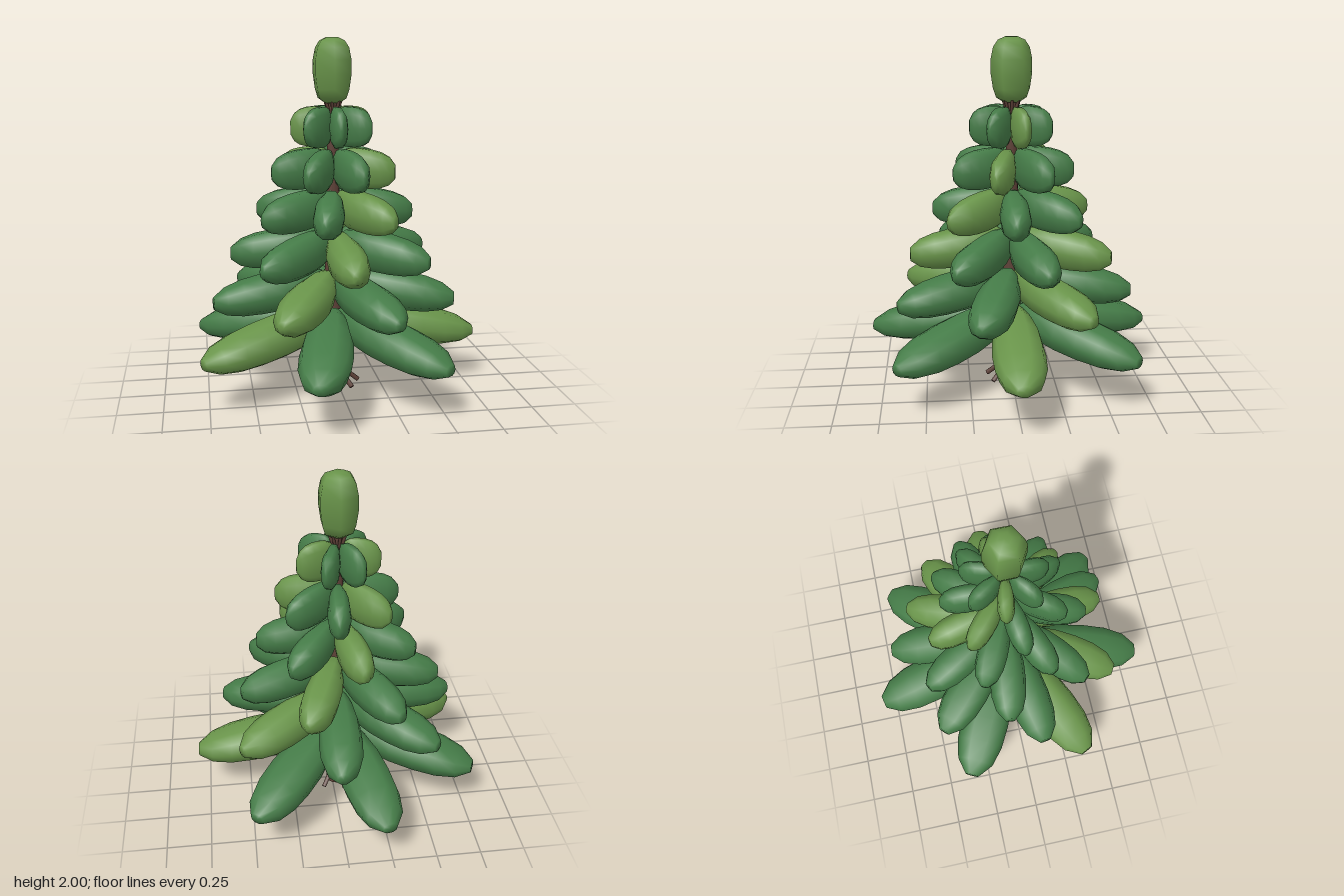
import * as THREE from 'three';
import { mergeVertices } from 'three/addons/utils/BufferGeometryUtils.js';

const mat = (name, color) => Object.assign(new THREE.MeshStandardMaterial({ color }), { name });
const SIDES = 7, STEP = (Math.PI * 2) / SIDES, CENTRE_X = -0.03;

// Half-width and half-height along a bough, from the trunk (0) to the tip (1)
const WIDTH = [0.22, 0.52, 0.76, 0.95, 1, 0.95, 0.74, 0.28];
const HEIGHT = [0.35, 0.8, 0.97, 1, 0.97, 0.86, 0.64, 0.27];

// Plump petal-shaped bough lying along +x
function boughGeometry({ length, width, height, y, drop, inner, blunt }) {
  const g = new THREE.CylinderGeometry(1, 1, 1, 10, 7);
  const p = g.attributes.position;
  const soften = (c) => Math.sign(c) * Math.abs(c) ** 0.85;
  for (let i = 0; i < p.count; i++) {
    const t = p.getY(i) + 0.5, ring = Math.round(t * 7);
    // Rings crowd towards both ends so the ends are round
    const s = THREE.MathUtils.lerp(t, (1 - Math.cos(Math.PI * t)) / 2, 0.45);
    p.setXYZ(i,
      inner + s * (length - inner),
      y + drop * (0.5 - s) + soften(p.getX(i)) * height * HEIGHT[ring] ** blunt,
      -soften(p.getZ(i)) * width * WIDTH[ring]);
  }
  g.deleteAttribute('normal');
  g.deleteAttribute('uv');
  const merged = mergeVertices(g, 1e-4);
  merged.computeVertexNormals();
  return merged;
}

// Thin stick between two points
function stick(name, a, b, radius, material) {
  const dir = b.clone().sub(a);
  const mesh = new THREE.Mesh(new THREE.CylinderGeometry(radius, radius, dir.length(), 6), material);
  mesh.position.copy(a).addScaledVector(dir, 0.5);
  mesh.quaternion.setFromUnitVectors(new THREE.Vector3(0, 1, 0), dir.normalize());
  mesh.name = name;
  return mesh;
}

export function createModel() {
  const bark = mat('bark brown', 0x5d4037);
  const green = mat('needle green', 0x457c48);
  const light = mat('light needle green', 0x69944a);
  const model = new THREE.Group();
  model.name = 'coniferTree';
  const tree = new THREE.Group();
  tree.name = 'tree';
  tree.position.x = CENTRE_X;
  model.add(tree);

  // Tapered trunk
  const trunk = new THREE.Mesh(new THREE.CylinderGeometry(0.025, 0.063, 1.7, 12), bark);
  trunk.name = 'trunk';
  trunk.position.y = 0.85;
  tree.add(trunk);

  // Roots at the foot, and short twigs below the crown
  const polar = (r, y, a) => new THREE.Vector3(r * Math.cos(a), y, r * Math.sin(a));
  for (let k = 0; k < SIDES; k++) {
    const a = k * STEP;
    tree.add(stick('root', polar(0.05, 0.105, a), polar(0.148, 0.025, a), 0.014, bark));
    tree.add(stick('twig', polar(0.015, 1.56, a), polar(0.05, 1.67, a), 0.009, bark));
  }

  // Six tiers of boughs, each turned a little further round
  const tiers = [
    { length: 0.83, width: 0.145, height: 0.115, y: 0.362, drop: 0.13, inner: 0.03, blunt: 1, lit: [0, 3] },
    { length: 0.69, width: 0.122, height: 0.112, y: 0.595, drop: 0.08, inner: 0.03, blunt: 0.9, lit: [2, 6] },
    { length: 0.58, width: 0.103, height: 0.113, y: 0.825, drop: 0.06, inner: 0.03, blunt: 0.85, lit: [1, 5] },
    { length: 0.455, width: 0.085, height: 0.111, y: 1.055, drop: 0.05, inner: 0.025, blunt: 0.8, lit: [0, 4] },
    { length: 0.35, width: 0.064, height: 0.115, y: 1.282, drop: 0.03, inner: 0.025, blunt: 0.8, lit: [3, 6] },
    { length: 0.235, width: 0.046, height: 0.115, y: 1.515, drop: 0.01, inner: 0.02, blunt: 0.8, lit: [2, 5] },
  ];
  tiers.forEach((tier, i) => {
    const group = new THREE.Group();
    group.name = `boughTier${i + 1}`;
    const geometry = boughGeometry(tier);
    for (let k = 0; k < SIDES; k++) {
      const bough = new THREE.Mesh(geometry, tier.lit.includes(k) ? light : green);
      bough.name = 'bough';
      bough.rotation.y = -(i * 0.3 + k * STEP);
      group.add(bough);
    }
    tree.add(group);
  });

  // Six-sided rounded crown
  const profile = [[0, 1.64], [0.045, 1.645], [0.085, 1.67], [0.102, 1.72], [0.114, 1.8],
    [0.114, 1.88], [0.1, 1.945], [0.075, 1.982], [0.035, 2], [0, 2]]
    .map(([r, y]) => new THREE.Vector2(r, y));
  const crown = new THREE.Mesh(new THREE.LatheGeometry(profile, 6), light);
  crown.name = 'crown';
  crown.position.x = -0.004;
  tree.add(crown);

  return model;
}
